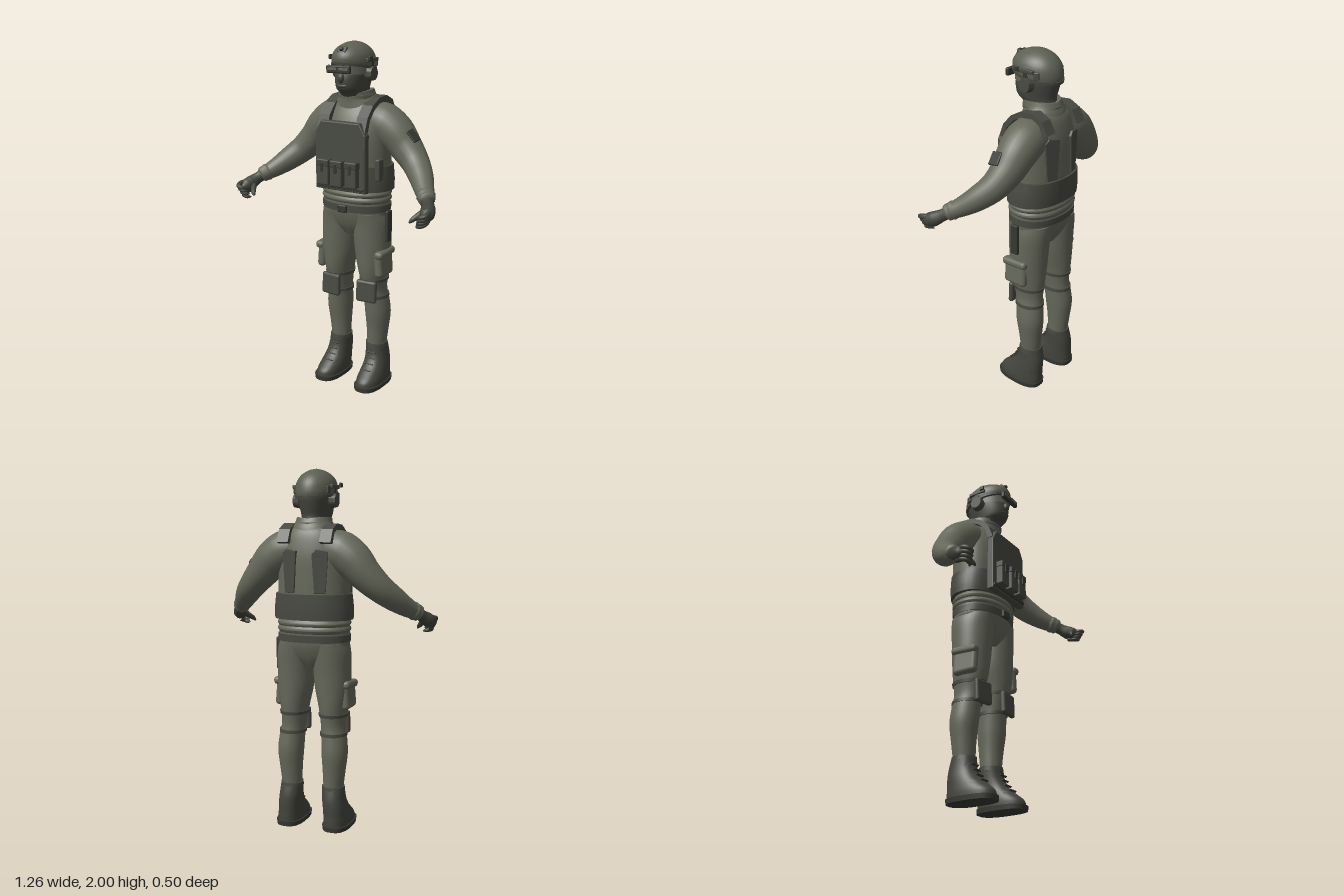
import * as THREE from 'three';
import { toCreasedNormals, mergeVertices } from 'three/addons/utils/BufferGeometryUtils.js';
import { RoundedBoxGeometry } from 'three/addons/geometries/RoundedBoxGeometry.js';

const mat = (name, color) => Object.assign(new THREE.MeshStandardMaterial({ color }), { name });

export function createModel() {
  const root = new THREE.Group();
  root.name = 'armouredFigure';
  const fabric = mat('olive fabric', 0x65685a), shell = mat('helmet olive', 0x5c5f52);
  const gear = mat('dark gear', 0x484a42), leather = mat('boots and gloves', 0x42443c);
  const face = mat('face covering', 0x45473f), black = mat('dark trim', 0x363832);
  const lens = mat('goggle lens', 0x63665a);

  const add = (name, geo, m, x = 0, y = 0, z = 0, rx = 0, ry = 0, rz = 0) => {
    const mesh = new THREE.Mesh(geo, m);
    mesh.name = name;
    mesh.position.set(x, y, z);
    mesh.rotation.set(rx, ry, rz);
    root.add(mesh);
    return mesh;
  };
  const rbox = (w, h, d, r = 0.008) => new RoundedBoxGeometry(w, h, d, 2, Math.min(r, w / 2.1, h / 2.1, d / 2.1));

  // Closed skin over stacked ovals: rows of [y, centreX, centreZ, radiusX, radiusZ]
  const loft = (rows, { e = 1, steps = 4, seg = 36, bend } = {}) => {
    const interp = new THREE.CubicInterpolant(rows.map((_, i) => i), rows.flat(), 5);
    const n = (rows.length - 1) * steps, pos = [], idx = [];
    const p = (v) => Math.sign(v) * Math.abs(v) ** e;
    let first, last;
    for (let i = 0; i <= n; i++) {
      const [y, cx, cz, rx, rz] = interp.evaluate(i / steps);
      if (!i) first = [cx, y, cz];
      last = [cx, y, cz];
      for (let j = 0; j < seg; j++) {
        const a = (j / seg) * Math.PI * 2;
        pos.push(cx + rx * p(Math.cos(a)), y, cz + rz * p(Math.sin(a)));
        if (i < n) {
          const k = i * seg + j, l = i * seg + (j + 1) % seg;
          idx.push(k, k + seg, l, k + seg, l + seg, l);
        }
      }
    }
    const c = pos.length / 3;
    pos.push(...first, ...last);
    for (let j = 0; j < seg; j++) {
      const q = (j + 1) % seg;
      idx.push(c, j, q, c + 1, n * seg + q, n * seg + j);
    }
    if (bend) for (let i = 0; i < pos.length; i += 3) pos[i + 1] += bend(pos[i], pos[i + 1], pos[i + 2]);
    const g = new THREE.BufferGeometry();
    g.setAttribute('position', new THREE.Float32BufferAttribute(pos, 3));
    g.setIndex(idx);
    return toCreasedNormals(g, 0.8);
  };

  // Tapered limb along points [x, y, z, radius]
  const limb = (pts, n = 30, sides = 24) => {
    const curve = new THREE.CatmullRomCurve3(pts.map((q) => new THREE.Vector3(q[0], q[1], q[2])));
    const g = new THREE.TubeGeometry(curve, n, 1, sides), pos = g.attributes.position;
    const v = new THREE.Vector3();
    for (let i = 0; i <= n; i++) {
      const c = curve.getPointAt(i / n), t = curve.getUtoTmapping(i / n) * (pts.length - 1);
      const k = Math.min(Math.floor(t), pts.length - 2);
      const r = THREE.MathUtils.lerp(pts[k][3], pts[k + 1][3], t - k);
      for (let j = 0; j <= sides; j++) {
        const id = i * (sides + 1) + j;
        v.fromBufferAttribute(pos, id).sub(c).multiplyScalar(r).add(c);
        pos.setXYZ(id, v.x, v.y, v.z);
      }
    }
    g.deleteAttribute('uv');
    g.deleteAttribute('normal');
    const m = mergeVertices(g, 1e-5);
    m.computeVertexNormals();
    return m;
  };
  const extrude = (pts, depth, bevel = 0) => new THREE.ExtrudeGeometry(
    new THREE.Shape(pts.map((q) => new THREE.Vector2(...q))),
    { depth, bevelEnabled: bevel > 0, bevelSize: bevel, bevelThickness: bevel, bevelSegments: 2 });

  // Torso, collar, shirt hem
  add('torso', loft([
    [0.92, 0, -0.09, 0.06, 0.08], [0.98, 0, -0.09, 0.17, 0.115], [1.05, 0, -0.09, 0.202, 0.138], [1.12, 0, -0.088, 0.2, 0.143],
    [1.3, 0, -0.09, 0.203, 0.15], [1.42, 0, -0.088, 0.203, 0.154], [1.52, 0, -0.092, 0.2, 0.15],
    [1.6, 0, -0.1, 0.182, 0.132], [1.66, 0, -0.108, 0.15, 0.108], [1.7, 0, -0.1, 0.105, 0.09]], { e: 0.92 }), fabric);
  add('collar', loft([[1.64, 0, -0.105, 0.14, 0.115], [1.69, 0, -0.095, 0.105, 0.105], [1.725, 0, -0.085, 0.096, 0.1]],
    { bend: (x, y, z) => (y > 1.66 ? Math.abs(x) * 0.15 - (z + 0.085) * 0.08 : 0) }), fabric);
  add('collarTrim', loft([[1.695, 0, -0.09, 0.104, 0.108], [1.712, 0, -0.09, 0.104, 0.108]], { steps: 1 }), shell);
  [1.135, 1.168].forEach((y) => add('shirtHemFold', loft([[y - 0.02, 0, -0.09, 0.196, 0.142],
    [y, 0, -0.09, 0.208, 0.153], [y + 0.02, 0, -0.09, 0.198, 0.145]], { e: 0.9 }), fabric));

  // Belt and cummerbund
  add('belt', loft([[1.068, 0, -0.09, 0.206, 0.147], [1.107, 0, -0.09, 0.206, 0.15]], { e: 0.9, steps: 1 }), gear);
  add('buckle', rbox(0.06, 0.045, 0.02), black, 0, 1.087, 0.064);
  add('cummerbund', loft([[1.19, 0, -0.092, 0.222, 0.153], [1.25, 0, -0.092, 0.223, 0.157], [1.33, 0, -0.092, 0.213, 0.159]],
    { e: 0.88, steps: 2 }), gear);

  // Front plate carrier with pouches
  add('frontPlate', extrude([[-0.155, 1.2], [0.155, 1.2], [0.155, 1.51], [0.12, 1.57], [-0.12, 1.57], [-0.155, 1.51]], 0.03, 0.007),
    gear, 0, 0, 0.05);
  add('plateHem', rbox(0.31, 0.02, 0.012, 0.004), black, 0, 1.215, 0.089);
  [-1, 0, 1].forEach((i) => {
    const z = i ? 0.105 : 0.11;
    add('pouch', rbox(0.074, 0.135, 0.045), gear, i * 0.09, 1.292, z);
    add('pouchFlap', rbox(0.079, 0.04, 0.05), leather, i * 0.09, 1.35, z);
    add('pouchTab', rbox(0.018, 0.055, 0.008, 0.003), black, i * 0.09, 1.328, z + 0.026);
  });
  add('sideRadio', rbox(0.03, 0.12, 0.05), gear, 0.2, 1.32, 0);

  // Head and face
  add('head', loft([
    [1.66, 0, -0.09, 0.075, 0.075], [1.72, 0, -0.07, 0.07, 0.1], [1.75, 0, -0.05, 0.076, 0.118],
    [1.8, 0, -0.053, 0.086, 0.128], [1.85, 0, -0.063, 0.092, 0.128], [1.91, 0, -0.063, 0.09, 0.125]], { e: 0.94 }), face);
  const nose = add('nose', new THREE.SphereGeometry(1, 16, 12), face, 0, 1.81, 0.07);
  nose.scale.set(0.02, 0.028, 0.022);
  const mouth = add('lips', new THREE.SphereGeometry(1, 16, 10), face, 0, 1.768, 0.066);
  mouth.scale.set(0.032, 0.012, 0.01);

  // Helmet, its rim and front mount
  const tilt = (x, y, z) => 0.16 * (z + 0.057) * Math.max(0, (2 - y) / 0.14);
  add('helmet', loft([
    [1.86, 0, -0.057, 0.107, 0.143], [1.89, 0, -0.057, 0.111, 0.148], [1.93, 0, -0.057, 0.104, 0.138],
    [1.965, 0, -0.057, 0.081, 0.107], [1.99, 0, -0.057, 0.043, 0.057], [2, 0, -0.057, 0.003, 0.004]], { bend: tilt }), shell);
  add('helmetRim', loft([[1.857, 0, -0.057, 0.112, 0.148], [1.871, 0, -0.057, 0.113, 0.15]], { steps: 1, bend: tilt }), gear);
  add('helmetMount', rbox(0.058, 0.04, 0.025), black, 0, 1.955, 0.055, -0.6);
  add('mountLatch', rbox(0.025, 0.02, 0.02), black, 0, 1.963, 0.069, -0.6);

  // Wrapped goggles and the visor bar in front
  const wrap = new THREE.CylinderGeometry(1, 1, 1, 32, 1, true, -1.35, 2.7);
  wrap.scale(0.099, 0.055, 0.138);
  add('goggleWrap', wrap, Object.assign(lens, { side: THREE.DoubleSide }), 0, 1.857, -0.06);
  add('visorBar', rbox(0.15, 0.042, 0.024), black, 0, 1.858, 0.095);
  [-1, 1].forEach((s) => add('visorLens', rbox(0.058, 0.014, 0.006, 0.002), lens, s * 0.036, 1.86, 0.106));

  // Shoulder strap profile in side elevation
  const outer = [[0.078, 1.53], [0.05, 1.605], [-0.005, 1.665], [-0.07, 1.7], [-0.15, 1.708], [-0.215, 1.678], [-0.252, 1.61]];
  const inner = [[-0.22, 1.6], [-0.195, 1.655], [-0.15, 1.678], [-0.075, 1.67], [-0.02, 1.64], [0.025, 1.59], [0.045, 1.53]];

  for (const s of [1, -1]) {
    const side = s > 0 ? 'left' : 'right';
    const at = (name, geo, m, x, y, z, rx = 0, ry = 0, rz = 0) => add(side + name, geo, m, s * x, y, z, rx, s * ry, s * rz);
    const arm = (pts) => limb(pts.map(([x, y, z, r]) => [s * x, y, z, r]));
    const tube = (pts, n = 12) => limb(pts.map(([x, y, z, r]) => [s * x, y, z, r]), n, 10);
    const sleeve = (rows, opt) => loft(rows.map(([y, x, ...r]) => [y, s * x, ...r]), opt);

    // Helmet rails and ear cups
    at('HelmetRail', rbox(0.018, 0.022, 0.11, 0.005), gear, 0.109, 1.903, -0.065);
    at('RailClip', rbox(0.012, 0.026, 0.03, 0.004), black, 0.128, 1.912, -0.02);
    at('RearRail', rbox(0.016, 0.04, 0.03, 0.005), gear, 0.097, 1.885, -0.13, 0, 0.4);
    const cup = new THREE.CylinderGeometry(0.036, 0.043, 0.036, 28);
    at('EarCup', toCreasedNormals(cup, 0.6), gear, 0.106, 1.83, -0.066, 0, 0, -Math.PI / 2);
    at('EarBand', rbox(0.012, 0.06, 0.025, 0.004), black, 0.108, 1.875, -0.066);

    // Shoulder strap and back panel
    const strap = extrude([...outer, ...inner], 0.066);
    strap.rotateY(-Math.PI / 2).translate(0.033, 0, 0);
    at('ShoulderStrap', strap, gear, 0.122, 0, 0);
    at('BackPanel', extrude([[-0.028, 1.34], [0.028, 1.34], [0.042, 1.55], [0.02, 1.57], [-0.042, 1.56]], 0.03, 0.003),
      gear, 0.088, 0, -0.233, 0, -0.3);

    // Sleeve, cuffs and glove
    at('Sleeve', arm([[0.08, 1.57, -0.11, 0.1], [0.16, 1.56, -0.115, 0.113], [0.235, 1.51, -0.118, 0.106], [0.3, 1.44, -0.115, 0.091],
      [0.375, 1.365, -0.09, 0.077], [0.44, 1.305, -0.035, 0.067], [0.495, 1.255, 0.03, 0.053], [0.54, 1.222, 0.085, 0.041]]), fabric, 0, 0, 0);
    at('Cuff', tube([[0.515, 1.24, 0.055, 0.047], [0.525, 1.233, 0.067, 0.052], [0.535, 1.226, 0.079, 0.047],
      [0.545, 1.219, 0.091, 0.046], [0.553, 1.213, 0.1, 0.03]]), fabric, 0, 0, 0);
    at('Glove', tube([[0.54, 1.222, 0.085, 0.034], [0.562, 1.2, 0.115, 0.034], [0.582, 1.178, 0.15, 0.041],
      [0.593, 1.165, 0.185, 0.038], [0.597, 1.158, 0.21, 0.015]], 20), leather, 0, 0, 0);
    for (let k = 0; k < 4; k++) {
      const x = 0.612 - 0.006 * k, y = 1.19 - 0.018 * k, z = 0.19 - 0.008 * k;
      at('Finger', tube([[x - 0.01, y, z - 0.02, 0.013], [x, y - 0.008, z + 0.02, 0.014], [x - 0.008, y - 0.018, z + 0.047, 0.013],
        [x - 0.035, y - 0.026, z + 0.047, 0.012], [x - 0.05, y - 0.028, z + 0.03, 0.003]]), leather, 0, 0, 0);
    }
    at('Thumb', tube([[0.565, 1.18, 0.14, 0.018], [0.54, 1.155, 0.18, 0.016], [0.52, 1.135, 0.205, 0.013], [0.508, 1.12, 0.212, 0.004]]),
      leather, 0, 0, 0);

    // Trouser leg
    at('TrouserLeg', sleeve([
      [1.06, 0.098, -0.09, 0.1, 0.13], [1, 0.104, -0.092, 0.106, 0.124], [0.9, 0.108, -0.09, 0.105, 0.117], [0.8, 0.112, -0.09, 0.099, 0.111],
      [0.7, 0.116, -0.092, 0.081, 0.104], [0.6, 0.118, -0.1, 0.068, 0.086], [0.53, 0.126, -0.11, 0.071, 0.082],
      [0.44, 0.132, -0.118, 0.073, 0.082], [0.34, 0.13, -0.12, 0.064, 0.07], [0.23, 0.125, -0.118, 0.055, 0.06]].reverse()), fabric, 0, 0, 0);

    // Cargo pocket, knee pad and its straps
    at('CargoPocket', rbox(0.05, 0.15, 0.15, 0.022), fabric, 0.192, 0.765, -0.07, 0, 0, 0.08);
    at('PocketFlap', rbox(0.055, 0.045, 0.165, 0.02), fabric, 0.2, 0.828, -0.07, 0.06);
    at('KneePad', rbox(0.126, 0.13, 0.032, 0.014), gear, 0.121, 0.597, -0.004, -0.04, 0.1);
    at('UpperKneeStrap', sleeve([[0.648, 0.117, -0.097, 0.079, 0.099], [0.666, 0.117, -0.097, 0.081, 0.102]], { steps: 1 }), gear, 0, 0, 0);
    at('LowerKneeStrap', sleeve([[0.541, 0.123, -0.107, 0.076, 0.088], [0.559, 0.122, -0.106, 0.075, 0.089]], { steps: 1 }), gear, 0, 0, 0);

    // Boot
    at('BootSole', sleeve([[0, 0.14, -0.055, 0.077, 0.148], [0.026, 0.14, -0.055, 0.08, 0.15]], { e: 0.75, steps: 1 }), black, 0, 0, 0);
    at('Boot', sleeve([
      [0.02, 0.14, -0.057, 0.073, 0.144], [0.055, 0.139, -0.062, 0.073, 0.14], [0.09, 0.137, -0.082, 0.07, 0.119],
      [0.13, 0.135, -0.107, 0.066, 0.095], [0.18, 0.13, -0.12, 0.063, 0.079], [0.245, 0.125, -0.118, 0.061, 0.066]], { e: 0.86 }), leather, 0, 0, 0);
    at('BootCuff', sleeve([[0.225, 0.126, -0.118, 0.064, 0.07], [0.25, 0.125, -0.118, 0.063, 0.068]], { steps: 1 }), gear, 0, 0, 0);
    for (let k = 0; k < 4; k++) // lacing
      at('BootLace', rbox(0.06, 0.007, 0.012, 0.003), black, 0.133, 0.11 + k * 0.03, [0.018, -0.012, -0.03, -0.043][k], -0.6);
  }

  // Thigh sheath and arm patch on the left side
  add('thighSheath', rbox(0.02, 0.18, 0.05, 0.006), black, 0.217, 0.985, -0.08);
  add('armPatch', rbox(0.075, 0.012, 0.065, 0.006), black, 0.361, 1.512, -0.085, 0.15, 0, -0.85);
  return root;
}
